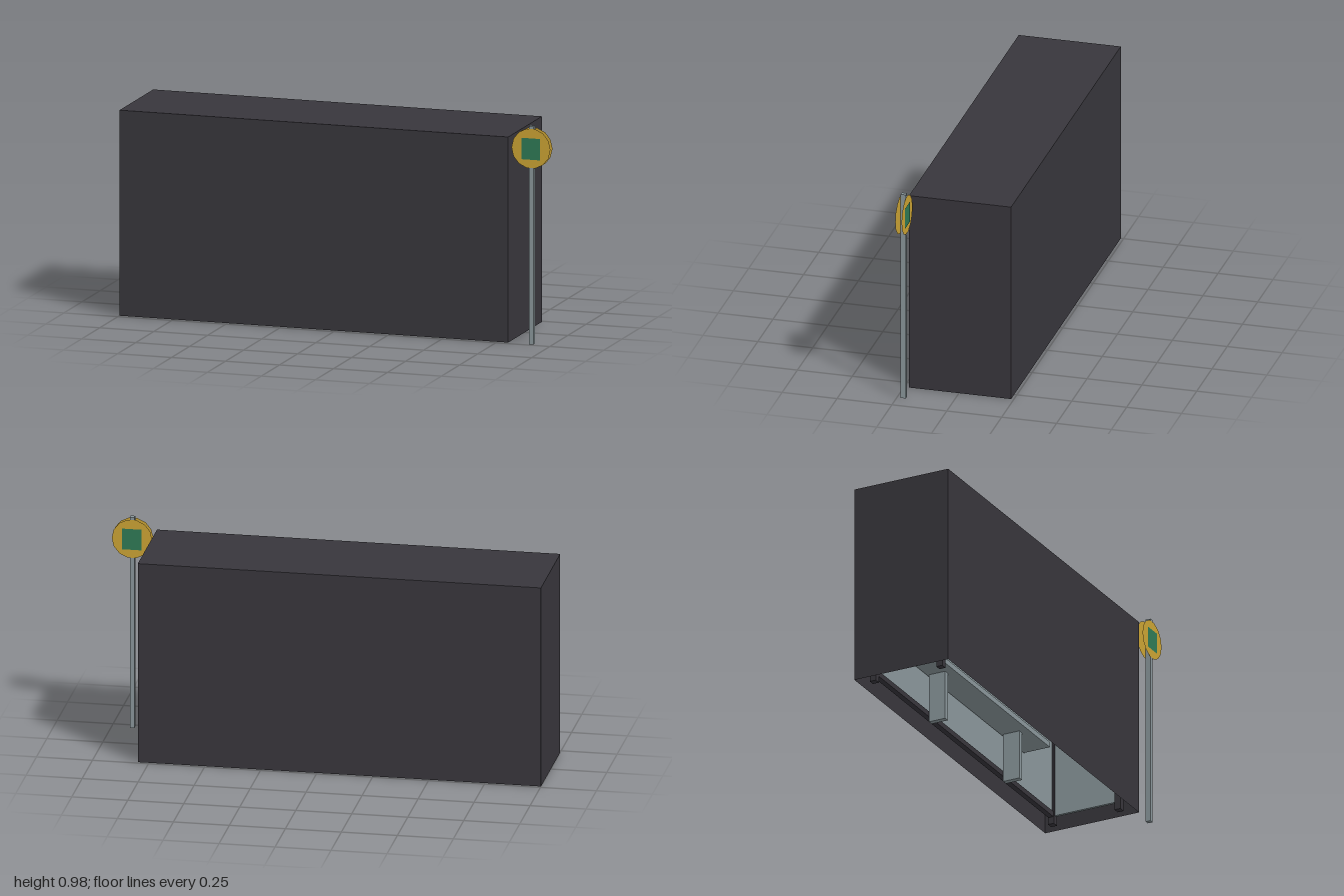
import * as THREE from 'three';

export function createModel() {
  const model = new THREE.Group();
  const mat = (name, color, side = THREE.FrontSide) => {
    const m = new THREE.MeshStandardMaterial({ color, side });
    m.name = name;
    return m;
  };
  const dark = mat('dark metal', 0x38363c);
  const shell = mat('dark shell', 0x38363c, THREE.DoubleSide);
  const grey = mat('grey metal', 0x8a979b);
  const gold = mat('gold', 0xcba334, THREE.DoubleSide);
  const green = mat('green', 0x2f7a55);

  const add = (parent, name, geo, material, x, y, z) => {
    const mesh = new THREE.Mesh(geo, material);
    mesh.name = name;
    mesh.position.set(x, y, z);
    parent.add(mesh);
    return mesh;
  };
  const box = (parent, name, material, w, h, d, x, y, z) =>
    add(parent, name, new THREE.BoxGeometry(w, h, d), material, x, y, z);

  // Shelter shell: a box of thin walls and a roof, open underneath
  const shelter = new THREE.Group();
  shelter.name = 'shelter';
  shelter.position.set(-0.1, 0, -0.005);
  model.add(shelter);
  const W = 1.8, H = 0.922, D = 0.465;
  const wall = (name, w, h, x, y, z, rx, ry) =>
    add(shelter, name, new THREE.PlaneGeometry(w, h), shell, x, y, z).rotation.set(rx, ry, 0);
  wall('frontWall', W, H, 0, H / 2, D / 2, 0, 0);
  wall('backWall', W, H, 0, H / 2, -D / 2, 0, Math.PI);
  wall('leftWall', D, H, W / 2, H / 2, 0, 0, Math.PI / 2);
  wall('rightWall', D, H, -W / 2, H / 2, 0, 0, -Math.PI / 2);
  wall('roof', W, D, 0, H, 0, -Math.PI / 2, 0);

  // Inner frame: corner posts, end panels and back panel with its bottom rail
  for (const sx of [-1, 1]) {
    for (const sz of [-1, 1])
      box(shelter, 'cornerPost', dark, 0.03, 0.88, 0.03, sx * 0.84, 0.44, sz * 0.165);
    box(shelter, 'endPanel', grey, 0.012, 0.78, 0.3, sx * 0.84, 0.43, 0);
  }
  box(shelter, 'backRail', dark, 1.65, 0.025, 0.025, 0, 0.045, -0.165);
  box(shelter, 'backPanel', grey, 1.65, 0.76, 0.012, 0, 0.44, -0.165);

  // Bench on two plate legs
  box(shelter, 'benchSeat', grey, 1.1, 0.025, 0.13, 0, 0.24, -0.09);
  for (const sx of [-1, 1])
    box(shelter, 'benchLeg', grey, 0.025, 0.23, 0.08, sx * 0.35, 0.115, -0.105);

  // Stop sign: square pole with a round plate on both faces
  const sign = new THREE.Group();
  sign.name = 'stopSign';
  sign.position.set(0.908, 0, 0.221);
  model.add(sign);
  box(sign, 'pole', grey, 0.02, 0.978, 0.0235, 0, 0.489, 0);
  for (const side of [1, -1]) {
    const turn = side > 0 ? 0 : Math.PI;
    add(sign, 'signDisc', new THREE.CircleGeometry(0.09, 14), gold, 0, 0.879, side * 0.0145)
      .rotation.y = turn;
    add(sign, 'signSquare', new THREE.PlaneGeometry(0.086, 0.096), green, 0, 0.877, side * 0.0167)
      .rotation.y = turn;
  }
  return model;
}
